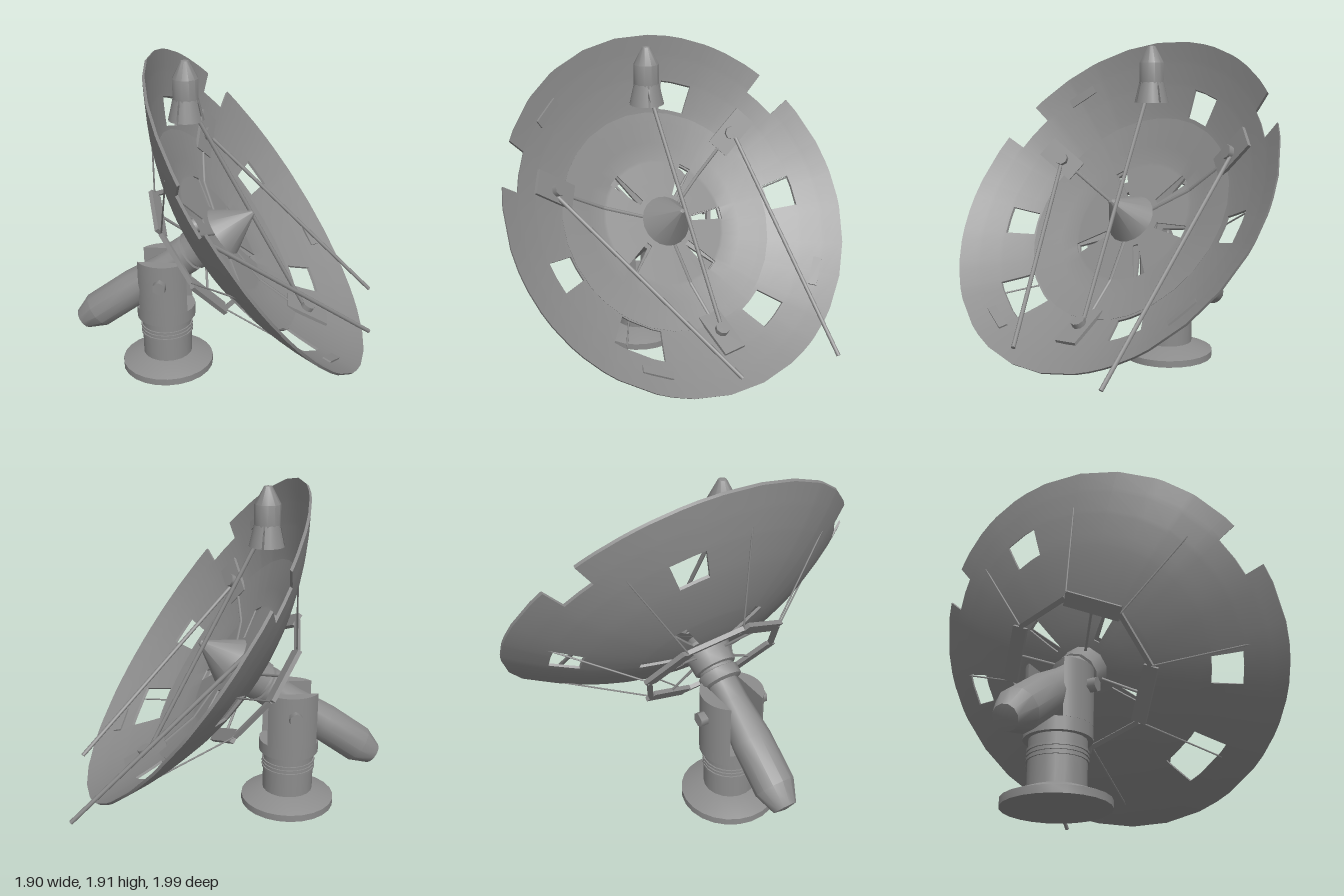
import * as THREE from 'three';
import { toCreasedNormals } from 'three/addons/utils/BufferGeometryUtils.js';

const metal = new THREE.MeshStandardMaterial({ color: 0x8c8c8c });
const metalDouble = new THREE.MeshStandardMaterial({ color: 0x8c8c8c, side: THREE.DoubleSide });
const V = (x, y, z) => new THREE.Vector3(x, y, z);
const rad = THREE.MathUtils.degToRad;

const RIM = 1.052, DEPTH = 0.38;
const centre = V(0.095, 1.06, 0), axis = V(0.746, 0.58, 0.328).normalize();
// depth profiles: the bowl, and the inner panel with its flat middle
const bowl = r => -DEPTH * (1 - (r * r) / (RIM * RIM));
const panel = r => (r < 0.39 ? -0.3 : -0.3 + (r - 0.39) * 0.265);

function add(parent, name, geometry, material = metal) {
  const mesh = new THREE.Mesh(geometry, material);
  mesh.name = name;
  parent.add(mesh);
  return mesh;
}

function lathe(points, sides) {
  const g = new THREE.LatheGeometry(points.map(p => new THREE.Vector2(...p)), sides);
  return toCreasedNormals(g, 0.6);
}

// straight rod between two points
function bar(parent, name, a, b, radius, sides = 8) {
  const mesh = add(parent, name, new THREE.CylinderGeometry(radius, radius, a.distanceTo(b), sides));
  mesh.position.copy(a).lerp(b, 0.5);
  mesh.quaternion.setFromUnitVectors(V(0, 1, 0), b.clone().sub(a).normalize());
}

// part lying on the bowl: its x is radial, y tangential, z along the surface normal
function onDish(dish, name, geometry, angle, r, lift) {
  const turn = new THREE.Group();
  turn.name = name + 'Mount';
  turn.rotation.z = rad(angle);
  const mesh = add(turn, name, geometry);
  mesh.rotation.y = -Math.atan((2 * DEPTH * r) / (RIM * RIM));
  mesh.position.set(r, 0, bowl(r)).add(V(0, 0, lift).applyEuler(mesh.rotation));
  dish.add(turn);
}

// openings: start angle, end angle, inner radius, outer radius
const slots = [128, 50, -4, -57, 217].map(a => [a - 5.5, a + 5.5, 0.18, 0.39]);
const windows = [
  [29.3, 41.5, 0.945, RIM], [148, 162, 0.955, RIM],
  [63.5, 77, 0.68, 0.83], [186.5, 199, 0.67, 0.83], [224, 245, 0.67, 0.85],
  [352, 365, 0.69, 0.84], [293, 307, 0.68, 0.83],
];

// round shell built on a polar grid whose lines follow the openings
function shellGeometry(profile, rMax, thick, openings) {
  const angles = [], radii = [0.04, 0.12, rMax];
  for (let a = 0; a < 360; a += 12) angles.push(a);
  for (let r = 0.25; r < rMax - 0.03; r += 0.12) radii.push(r);
  for (const [a0, a1, r0, r1] of openings) {
    angles.push((a0 + 360) % 360, (a1 + 360) % 360);
    radii.push(r0, r1);
  }
  const tidy = list => [...new Set(list)].sort((p, q) => p - q);
  const A = tidy(angles), R = tidy(radii), n = A.length;
  const angleAt = i => (i < n ? A[i] : A[i - n] + 360);
  const solid = (i, j) => {
    if (j < 0) return true;
    if (j >= R.length - 1) return false;
    i = (i + n) % n;
    const a = (angleAt(i) + angleAt(i + 1)) / 2, r = (R[j] + R[j + 1]) / 2;
    return !openings.some(([a0, a1, r0, r1]) =>
      r > r0 && r < r1 && (a - a0 + 720) % 360 < a1 - a0);
  };
  const pos = [];
  const point = (i, j, back) => {
    const t = rad(A[i % n]);
    return [R[j] * Math.cos(t), R[j] * Math.sin(t), profile(R[j]) - back * thick];
  };
  const quad = (a, b, c, d) => pos.push(...a, ...b, ...c, ...a, ...c, ...d);
  for (let i = 0; i < n; i++) for (let j = 0; j < R.length - 1; j++) {
    if (!solid(i, j)) continue;
    const k = [[i, j], [i, j + 1], [i + 1, j + 1], [i + 1, j]];
    const f = k.map(c => point(...c, 0)), b = k.map(c => point(...c, 1));
    quad(f[0], f[1], f[2], f[3]);
    quad(b[3], b[2], b[1], b[0]);
    // walls where the neighbouring cell is open
    [[i - 1, j], [i, j + 1], [i + 1, j], [i, j - 1]].forEach((cell, e) => {
      const e2 = (e + 1) % 4;
      if (!solid(...cell)) quad(f[e], b[e], b[e2], f[e2]);
    });
  }
  const g = new THREE.BufferGeometry();
  g.setAttribute('position', new THREE.Float32BufferAttribute(pos, 3));
  return toCreasedNormals(g, 0.6);
}

function createDish() {
  const dish = new THREE.Group();
  dish.name = 'dish';
  dish.position.copy(centre);
  dish.lookAt(centre.clone().add(axis));
  add(dish, 'bowl', shellGeometry(bowl, RIM, 0.016, [...windows, ...slots]), metalDouble);
  add(dish, 'innerPanel', shellGeometry(panel, 0.66, 0.008, slots), metalDouble);
  const polar = (a, r, z) => V(r * Math.cos(rad(a)), r * Math.sin(rad(a)), z);

  // central feed cone standing on the inner panel
  const cone = add(dish, 'hubCone', lathe([[0, -0.38], [0.08, -0.38], [0.08, -0.285], [0.15, -0.285], [0.012, -0.07], [0, -0.067]], 20));
  cone.rotation.x = Math.PI / 2;

  // strut mounts with nuts, and bent ribs running in to the hub
  for (const a of [155.5, 36.5, -85]) {
    onDish(dish, 'mountPlate', new THREE.BoxGeometry(0.27, 0.14, 0.02), a, 0.725, 0.015);
    onDish(dish, 'mountNut', new THREE.CylinderGeometry(0.04, 0.04, 0.04, 8).rotateX(Math.PI / 2), a, 0.72, 0.035);
    const ribs = [0.1, 0.39, 0.62].map(r => polar(a, r, panel(r)));
    bar(dish, 'innerRib', ribs[0], ribs[1], 0.011, 6);
    bar(dish, 'outerRib', ribs[1], ribs[2], 0.011, 6);
  }
  // small raised panels near the rim
  for (const a of [131, 241, -36])
    onDish(dish, 'rimPanel', new THREE.BoxGeometry(0.05, 0.18, 0.012), a, 0.93, 0.008);

  // octagonal rear frame of flat plates and thin bars, tied to the bowl by rods
  const R = 0.41, Z = -0.465, length = 2 * R * Math.sin(Math.PI / 8);
  for (let k = 0; k < 8; k++) {
    const a = 4.5 + k * 45, wide = k % 2 === 0;
    const side = new THREE.Group();
    side.name = 'rearFrameSide';
    side.rotation.z = rad(a + 22.5);
    const bay = add(side, wide ? 'framePlate' : 'frameBar',
      new THREE.BoxGeometry(wide ? 0.08 : 0.025, length, 0.025));
    bay.position.set(R * Math.cos(Math.PI / 8), 0, Z);
    dish.add(side);
    bar(dish, 'frameTie', polar(a, R, Z), polar(a, 0.87, bowl(0.87) - 0.01), 0.005, 5);
    if (wide) bar(dish, 'frameStrut', polar(a + 22.5, 0.36, Z), polar(a + 22.5, 0.1, -0.43), 0.008, 6);
  }

  // collar, neck and counterweight arm behind the bowl
  const arm = add(dish, 'counterweightArm', lathe([
    [0, -1.35], [0.065, -1.34], [0.112, -1.22], [0.112, -0.95], [0.088, -0.72], [0.085, -0.6], [0.115, -0.59],
    [0.115, -0.53], [0.1, -0.525], [0.1, -0.51], [0.12, -0.505], [0.125, -0.44], [0.14, -0.36]], 12));
  arm.rotation.x = Math.PI / 2;
  return dish;
}

function createPedestal() {
  const pedestal = new THREE.Group();
  pedestal.name = 'pedestal';
  pedestal.position.set(-0.436, 0, -0.24);
  add(pedestal, 'base', lathe([[0, 0], [0.275, 0], [0.275, 0.04], [0.15, 0.09], [0, 0.09]], 24));
  add(pedestal, 'column', new THREE.CylinderGeometry(0.148, 0.148, 0.27, 20)).position.y = 0.215;
  for (const y of [0.235, 0.258, 0.28])
    add(pedestal, 'columnRing', new THREE.CylinderGeometry(0.156, 0.156, 0.013, 20)).position.y = y;
  add(pedestal, 'housingFloor', new THREE.CylinderGeometry(0.175, 0.175, 0.07, 24)).position.y = 0.375;

  // two housing cheeks with a slot between them for the arm, each with a pivot bolt
  const slot = Math.asin(0.1 / 0.175);
  const outline = new THREE.Shape().absarc(0, 0, 0.175, slot, Math.PI - slot, false);
  const cheek = toCreasedNormals(new THREE.ExtrudeGeometry(outline,
    { depth: 0.315, bevelEnabled: false, curveSegments: 8 }).rotateX(-Math.PI / 2), 0.6);
  for (const turn of [0, Math.PI]) {
    const half = new THREE.Group();
    half.name = 'housingHalf';
    half.rotation.y = turn - Math.atan2(axis.z, axis.x);
    add(half, 'housingCheek', cheek).position.y = 0.41;
    const bolt = add(half, 'pivotBolt', new THREE.CylinderGeometry(0.04, 0.04, 0.06, 6));
    bolt.rotation.x = Math.PI / 2;
    bolt.position.set(0, 0.61, -0.185);
    pedestal.add(half);
  }
  return pedestal;
}

export function createModel() {
  const model = new THREE.Group();
  model.name = 'dishAntenna';
  model.add(createPedestal(), createDish());

  // long struts; the upright one carries the receiver
  bar(model, 'strut', V(-0.02, 1.29, -0.69), V(0.945, 0.25, -0.275), 0.012);
  bar(model, 'strut', V(-0.475, 1.18, 0.475), V(0.65, 0.31, 0.31), 0.012);
  bar(model, 'receiverStrut', V(0.36, 0.37, 0.036), V(-0.28, 1.65, -0.155), 0.012);

  const receiver = new THREE.Group();
  receiver.name = 'receiver';
  receiver.position.set(-0.298, 0, -0.163);
  add(receiver, 'receiverBody', lathe([[0, 1.66], [0.073, 1.66], [0.073, 1.79], [0.022, 1.885], [0, 1.89]], 12));
  // flared skirt split into four flaps
  for (let k = 0; k < 4; k++)
    add(receiver, 'skirtFlap', new THREE.CylinderGeometry(0.072, 0.1, 0.12, 4, 1, true,
      k * Math.PI / 2 + 0.85, Math.PI / 2 - 0.13), metalDouble).position.y = 1.62;
  model.add(receiver);
  return model;
}
